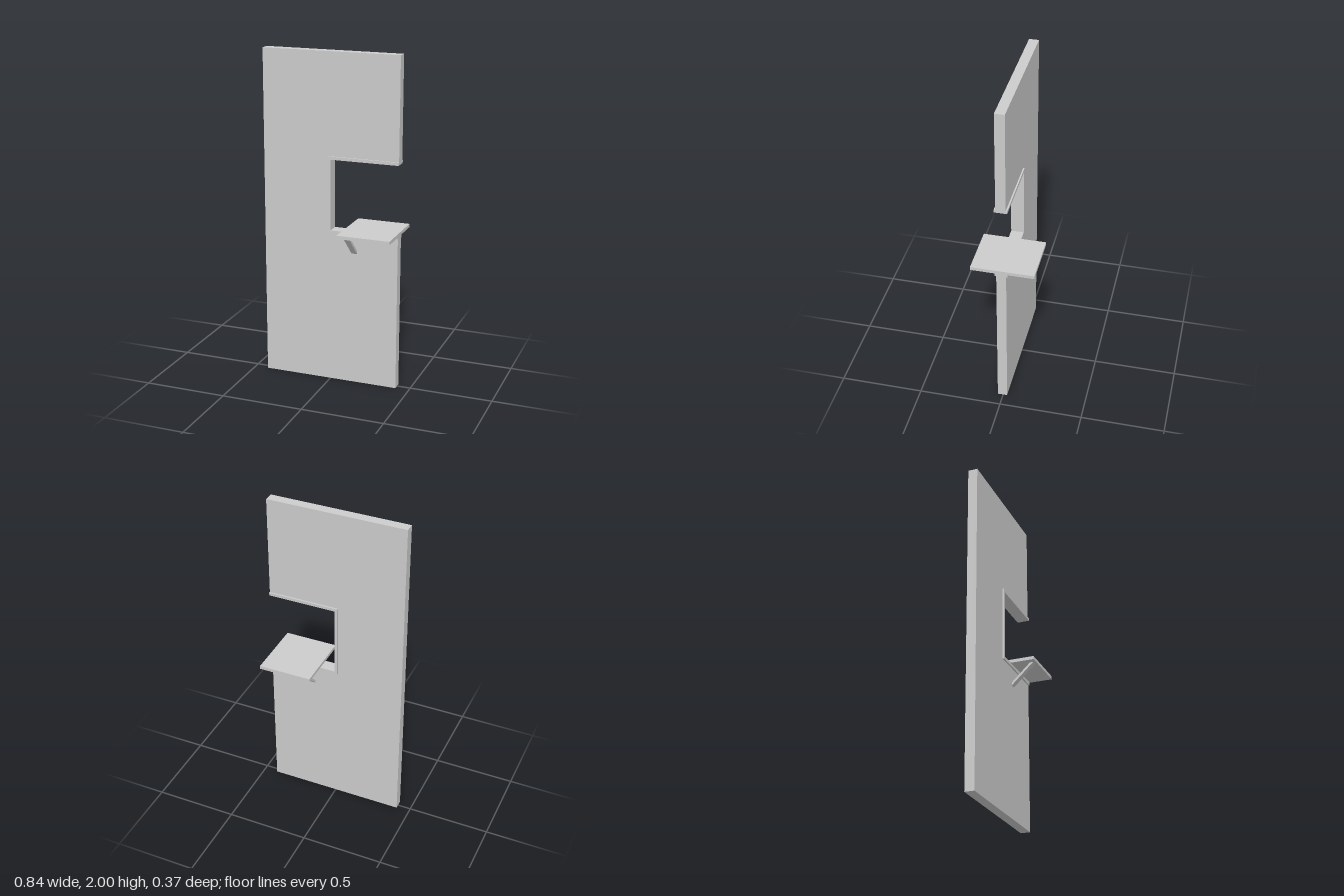
import * as THREE from 'three';

const mat = new THREE.MeshStandardMaterial({ color: 0xcccccc, flatShading: true });

// Extrude a closed outline from z0 to z1
function slab(name, pts, z0, z1) {
  const shape = new THREE.Shape(pts.map(([x, y]) => new THREE.Vector2(x, y)));
  const geo = new THREE.ExtrudeGeometry(shape, { depth: z1 - z0, bevelEnabled: false });
  geo.translate(0, 0, z0);
  const mesh = new THREE.Mesh(geo, mat);
  mesh.name = name;
  return mesh;
}

export function createModel() {
  const group = new THREE.Group();
  group.name = 'wallWithServingHatch';
  const L = -0.418, R = 0.417;
  const midZ = 0.004;                       // centre plane of the wall
  const outX = -0.014, inX = 0.004;         // hatch frame, outer and inner side
  const outB = 0.929, inB = 0.947, inT = 1.374, outT = 1.392;

  // Wall panel notched on one side
  group.add(slab('wall', [
    [L, 0], [R, 0], [R, outB], [outX, outB], [outX, outT], [R, outT], [R, 2], [L, 2],
  ], midZ - 0.029, midZ + 0.029));

  // Three-sided lining of the notch, slightly proud of the wall
  group.add(slab('hatchFrame', [
    [outX, outB], [R, outB], [R, inB], [inX, inB], [inX, inT], [R, inT], [R, outT], [outX, outT],
  ], midZ - 0.038, midZ + 0.038));

  // Counter board resting on the sill
  const counter = new THREE.Mesh(new THREE.BoxGeometry(R - 0.095, 0.02, 0.374), mat);
  counter.name = 'counter';
  counter.position.set((R + 0.095) / 2, inB + 0.01, -0.001);
  group.add(counter);

  // Diagonal braces under the counter, one on each face of the wall
  for (const side of [1, -1]) {
    const brace = slab(side > 0 ? 'frontBrace' : 'backBrace', [
      [0.029, 0.817], [0.165, inB], [0.145, inB], [0.029, 0.837],
    ].map(([d, y]) => [side * d, y]), -0.0175, 0.0175);
    brace.rotation.y = -Math.PI / 2;
    brace.position.set(0.15, 0, midZ);
    group.add(brace);
  }
  return group;
}
